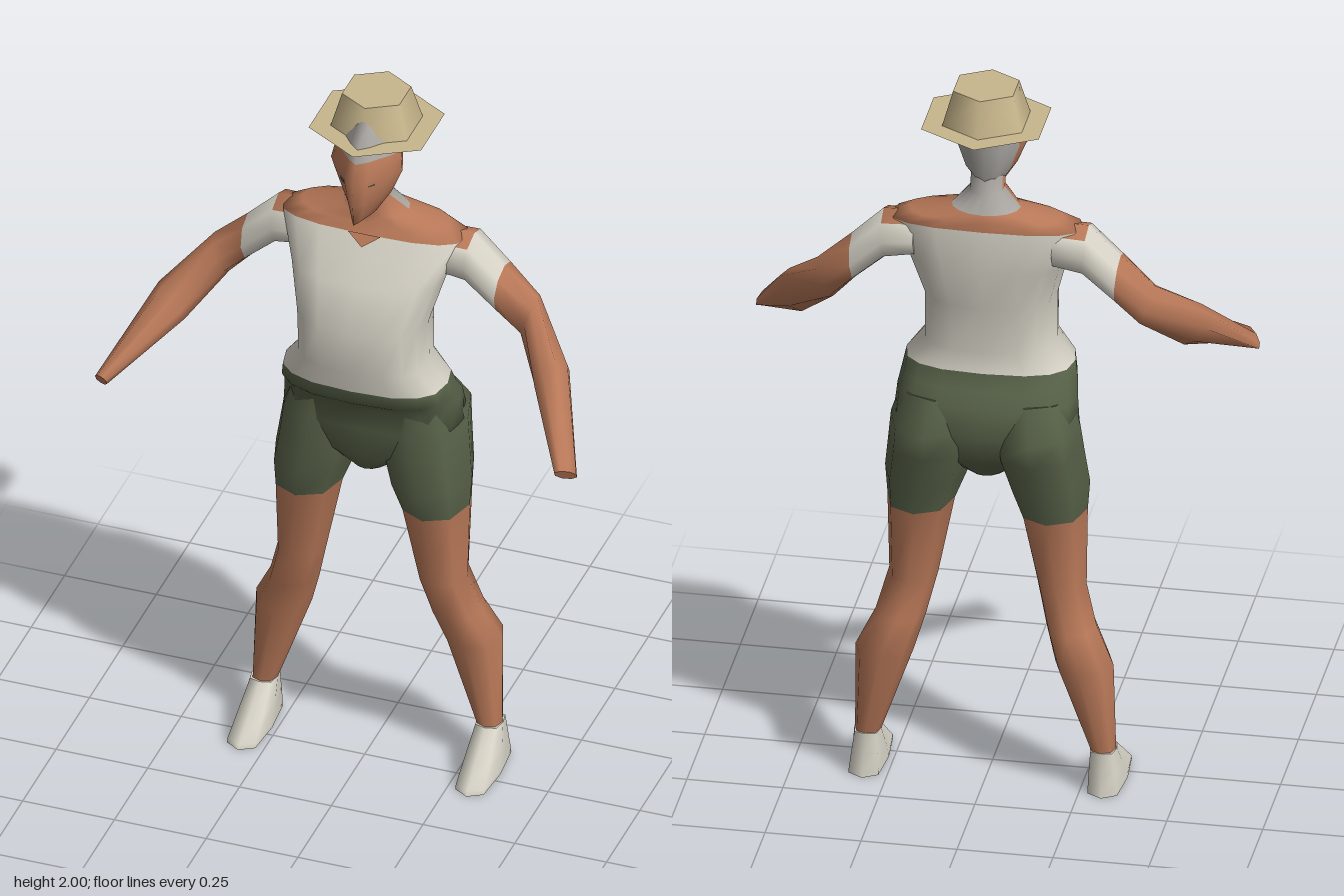
import * as THREE from 'three';

const mat = (name, color, side = THREE.FrontSide) => {
  const m = new THREE.MeshStandardMaterial({ color, side });
  m.name = name;
  return m;
};

// Smooth skin through rings of points (stacked bottom to top); pick(centre) gives each face its material index
function loft(name, rings, materials, pick = () => 0) {
  const n = rings[0].length, pos = [], buckets = materials.map(() => []);
  rings.forEach(r => r.forEach(p => pos.push(...p)));
  const last = rings.length - 1;
  for (let i = 0; i < last; i++) for (let j = 0; j < n; j++) {
    const k = (j + 1) % n, a = i * n + j, b = i * n + k;
    const quad = [rings[i][j], rings[i][k], rings[i + 1][j], rings[i + 1][k]];
    const mid = [0, 1, 2].map(c => quad.reduce((s, p) => s + p[c], 0) / 4);
    buckets[pick(mid)].push(a, a + n, b, b, a + n, b + n);
  }
  // end caps with their own vertices
  [0, last].forEach(i => {
    const base = pos.length / 3, r = rings[i];
    r.forEach(p => pos.push(...p));
    const mid = [0, 1, 2].map(c => r.reduce((s, p) => s + p[c], 0) / n);
    for (let j = 1; j < n - 1; j++) {
      buckets[pick(mid)].push(base, ...(i ? [base + j + 1, base + j] : [base + j, base + j + 1]));
    }
  });
  const g = new THREE.BufferGeometry();
  g.setAttribute('position', new THREE.Float32BufferAttribute(pos, 3));
  g.setIndex(buckets.flat());
  let start = 0;
  buckets.forEach((b, i) => { g.addGroup(start, b.length, i); start += b.length; });
  g.computeVertexNormals();
  const mesh = new THREE.Mesh(g, materials);
  mesh.name = name;
  return mesh;
}

// Level ring: height, centre x, half width, front z, back z; p sets how square the front and back are
function level(y, cx, hw, zf, zb, n, pf = 2, pb = pf) {
  const cz = (zf + zb) / 2, d = (zf - zb) / 2;
  return Array.from({ length: n }, (_, j) => {
    const t = j / n * Math.PI * 2, c = Math.cos(t), s = Math.sin(t), e = 2 / (s >= 0 ? pf : pb);
    return [cx + hw * Math.sign(c) * Math.abs(c) ** e, y, cz + d * Math.sign(s) * Math.abs(s) ** e];
  });
}

// Tilted ring: centre and two half axes; side = -1 mirrors it
function tilted([c, u, v], side, n = 8) {
  return Array.from({ length: n }, (_, j) => {
    const t = j / n * Math.PI * 2, a = Math.cos(t) * side, b = Math.sin(t);
    return [side * (c[0] + u[0] * a + v[0] * b), c[1] + u[1] * a + v[1] * b, c[2] + u[2] * a + v[2] * b];
  });
}

export function createModel() {
  const model = new THREE.Group();
  model.name = 'standingFigure';
  const skin = mat('skin', 0xb87858);
  const shirt = mat('offWhite', 0xd6d2c6);
  const shorts = mat('olive', 0x566047);
  const hair = mat('greyHair', 0xa8a5a0);
  const straw = mat('straw', 0xc8b68c, THREE.DoubleSide);
  const dark = mat('eyeDark', 0x4a4a38);

  // Hips, shirt, shoulders and neck: y, half width, front z, back z, squareness
  const body = [
    [0.885, 0.05, 0.0, -0.12, 2], [0.95, 0.14, 0.04, -0.18, 2.5], [1.04, 0.242, 0.052, -0.215, 2.5],
    [1.11, 0.235, 0.055, -0.19, 2.6], [1.15, 0.228, 0.1, -0.165, 2.6], [1.19, 0.22, 0.105, -0.14, 2.7],
    [1.25, 0.172, 0.115, -0.14, 2.7], [1.38, 0.172, 0.13, -0.145, 2.7], [1.5, 0.205, 0.08, -0.175, 2.7],
    [1.61, 0.25, 0.0, -0.16, 2.8], [1.635, 0.2, -0.012, -0.16, 2.5], [1.655, 0.09, -0.02, -0.152, 2],
    [1.7, 0.045, -0.01, -0.125, 2], [1.76, 0.045, 0.0, -0.11, 2],
  ];
  model.add(loft('torso', body.map(([y, hw, zf, zb, p]) => level(y, 0, hw, zf, zb, 16, p)),
    [shorts, shirt, skin, hair],
    ([, y, z]) => y < 1.19 ? 0 : y < 1.61 ? 1 : y > 1.65 && z < -0.085 ? 3 : 2));

  // Open neckline
  const vee = new THREE.BufferGeometry();
  vee.setAttribute('position', new THREE.Float32BufferAttribute(
    [-0.045, 1.613, 0.003, 0, 1.585, 0.024, 0.045, 1.613, 0.003], 3));
  vee.computeVertexNormals();
  const neckline = new THREE.Mesh(vee, skin);
  neckline.name = 'neckline';
  model.add(neckline);

  // Head with a wedge-shaped face and hair behind
  const head = [
    [1.668, 0.014, 0.0, -0.06], [1.692, 0.032, 0.085, -0.09], [1.75, 0.068, 0.09, -0.125],
    [1.82, 0.097, 0.095, -0.125], [1.87, 0.088, 0.07, -0.135], [1.905, 0.08, 0.053, -0.14],
    [1.965, 0.05, 0.012, -0.13],
  ];
  model.add(loft('head', head.map(([y, hw, zf, zb]) => level(y, 0, hw, zf, zb, 12, 1.2, 1.7)),
    [skin, hair], ([, y, z]) => y > 1.87 || z < -0.06 ? 1 : 0));

  // Hat: six-sided crown and flat brim
  const hat = new THREE.Group();
  hat.name = 'hat';
  hat.position.z = -0.09;
  const crown = new THREE.Mesh(new THREE.CylinderGeometry(0.09, 0.12, 0.095, 6), straw);
  crown.name = 'crown';
  crown.position.y = 1.9525;
  const brim = new THREE.Mesh(new THREE.CircleGeometry(0.177, 6, Math.PI / 2), straw);
  brim.name = 'brim';
  brim.rotation.x = -Math.PI / 2;
  brim.position.y = 1.905;
  hat.add(crown, brim);
  model.add(hat);

  // Arm sections from shoulder to hand: centre, two half axes
  const arm = [
    [[0.18, 1.56, -0.085], [0, 0, 0.07], [0, 0.06, 0]],
    [[0.262, 1.553, -0.088], [0, 0, 0.072], [0.005, 0.067, 0]],
    [[0.345, 1.477, -0.087], [0, 0, 0.068], [0.005, 0.063, 0]],
    [[0.42, 1.405, -0.087], [0, 0, 0.05], [0.02, 0.055, 0]],
    [[0.518, 1.3, 0.022], [-0.035, -0.01, 0.035], [0.02, 0.05, 0.02]],
    [[0.633, 1.162, 0.235], [-0.022, 0.018, 0.025], [0.01, 0.012, 0]],
  ];
  // Leg sections from ankle to hip: y, centre x, half width, front z, back z
  const leg = [
    [0.11, 0.307, 0.033, -0.06, -0.135], [0.365, 0.26, 0.076, -0.035, -0.19],
    [0.46, 0.222, 0.066, -0.012, -0.165], [0.57, 0.193, 0.064, 0.01, -0.14],
    [0.79, 0.173, 0.088, 0.045, -0.185], [0.87, 0.16, 0.107, 0.06, -0.2],
    [0.97, 0.14, 0.115, 0.056, -0.228], [1.04, 0.135, 0.112, 0.052, -0.242], [1.12, 0.12, 0.1, 0.04, -0.18],
  ];
  // Foot sections from sole to ankle
  const foot = [
    [0, 0.311, 0.047, 0.093, -0.16], [0.012, 0.311, 0.047, 0.088, -0.158],
    [0.06, 0.309, 0.042, 0.02, -0.148], [0.117, 0.307, 0.035, -0.056, -0.138],
  ];

  for (const s of [1, -1]) {
    const side = s > 0 ? 'left' : 'right';
    model.add(loft(side + 'Arm', arm.map(r => tilted(r, s)), [shirt, skin],
      ([x, y]) => Math.abs(x) > 0.345 || (y > 1.6 && Math.abs(x) < 0.25) ? 1 : 0));
    model.add(loft(side + 'Leg', leg.map(([y, cx, hw, zf, zb]) => level(y, s * cx, hw, zf, zb, 8, 2.2)),
      [skin, shorts], ([, y]) => y > 0.79 ? 1 : 0));
    model.add(loft(side + 'Foot', foot.map(([y, cx, hw, zf, zb]) => level(y, s * cx, hw, zf, zb, 8, 3.5)), [shirt]));
    const eye = new THREE.Mesh(new THREE.BoxGeometry(0.02, 0.014, 0.008), dark);
    eye.name = side + 'Eye';
    eye.position.set(s * 0.037, 1.812, 0.056);
    eye.rotation.y = s * 0.83;
    model.add(eye);
  }
  return model;
}
